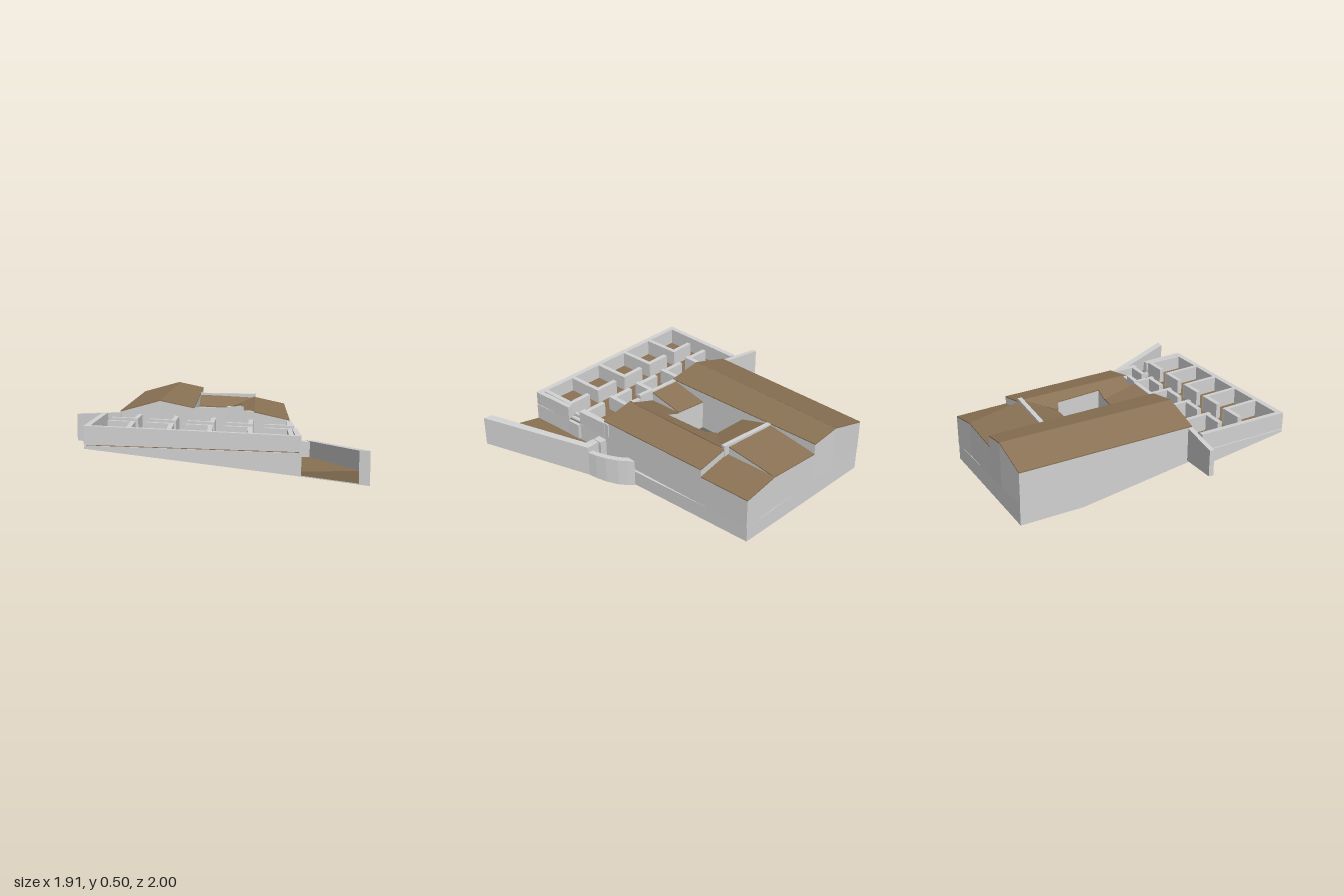
import * as THREE from 'three';

const material = (name, color, side = THREE.FrontSide) => {
  const m = new THREE.MeshStandardMaterial({ color, side });
  m.name = name;
  return m;
};

export function createModel() {
  const model = new THREE.Group();
  const stone = material('pale stone', 0xd2d2d2);
  const earth = material('brown roof and floor', 0x8b7355);
  const dark = material('dark court floor', 0x69645a);

  const fn = (v) => (typeof v === 'function' ? v : () => v);

  // Upright prism over an outline of [x, z] points, between two height rules
  function prism(name, pts, bottom, top, mat) {
    const shape = new THREE.Shape(pts.map(([x, z]) => new THREE.Vector2(x, -z)));
    const geo = new THREE.ExtrudeGeometry(shape, { depth: 1, bevelEnabled: false });
    geo.rotateX(-Math.PI / 2);
    const p = geo.attributes.position;
    const lo = fn(bottom), hi = fn(top);
    for (let i = 0; i < p.count; i++) {
      const x = p.getX(i), z = p.getZ(i);
      p.setY(i, p.getY(i) > 0.5 ? hi(x, z) : lo(x, z));
    }
    geo.computeVertexNormals();
    const mesh = new THREE.Mesh(geo, mat);
    mesh.name = name;
    model.add(mesh);
  }

  // Straight wall along a centre line
  function wall(name, x1, z1, x2, z2, thick, bottom, top) {
    const len = Math.hypot(x2 - x1, z2 - z1);
    const nx = (-(z2 - z1) / len) * thick / 2, nz = ((x2 - x1) / len) * thick / 2;
    prism(name, [[x1 + nx, z1 + nz], [x2 + nx, z2 + nz], [x2 - nx, z2 - nz], [x1 - nx, z1 - nz]],
      bottom, top, stone);
  }

  // Height rule of the plane through three [x, z, y] points
  function plane([a, b, c]) {
    const [ux, uz, uy] = b.map((v, i) => v - a[i]);
    const [vx, vz, vy] = c.map((v, i) => v - a[i]);
    const d = ux * vz - uz * vx;
    const sx = (uy * vz - uz * vy) / d, sz = (ux * vy - uy * vx) / d;
    return (x, z) => a[2] + sx * (x - a[0]) + sz * (z - a[1]);
  }

  // Tilted ground planes and levels
  const frontUnder = (x, z) => 0.061 - 0.117 * x + 0.139 * z;
  const backUnder = (x) => 0.03 - 0.045 * x;
  const baseTop = (x) => 0.155 - 0.085 * x;
  const cellFloor = (x) => 0.285 - 0.02 * x;
  const cellTop = (x) => 0.39 - 0.035 * x;

  // Foundations
  prism('backFoundation', [[-0.66, -1], [0.41, -0.96], [0.48, 0], [-0.66, -0.566]], backUnder, baseTop, stone);
  prism('middleFoundation', [[-0.66, -0.566], [0.48, 0], [0.475, 0.27], [-0.66, 0.235]], frontUnder, baseTop, stone);
  prism('cellFoundation', [[-0.78, 0.23], [-0.78, 0.885], [0.545, 0.92], [0.475, 0.27]],
    frontUnder, (x) => cellFloor(x) - 0.006, stone);
  prism('cellFloor', [[-0.77, 0.24], [-0.77, 0.875], [0.535, 0.91], [0.475, 0.275]],
    (x) => cellFloor(x) - 0.006, cellFloor, earth);
  prism('courtFloor', [[-0.19, -0.4], [0.16, -0.4], [0.16, 0.01], [-0.18, 0.01]],
    baseTop, (x) => baseTop(x) + 0.006, dark);

  // Roof facet: a wall block with a thin brown cover, plane set by the first three corners
  function roof(name, corners) {
    const h = plane(corners);
    const pts = corners.map(([x, z]) => [x, z]);
    prism(name + 'Walls', pts, baseTop, (x, z) => h(x, z) - 0.007, stone);
    prism(name, pts, (x, z) => h(x, z) - 0.007, h, earth);
  }
  roof('leftWingOuterRoof', [[-0.665, -1, 0.43], [-0.66, 0.235, 0.43], [-0.39, 0.245, 0.505], [-0.39, -0.998, 0.505]]);
  roof('leftWingInnerRoof', [[-0.39, -0.998, 0.505], [-0.39, 0.245, 0.505], [-0.16, 0.255, 0.458], [-0.2, -0.985, 0.46]]);
  roof('backMiddleRoof', [[-0.2, -0.985, 0.39], [0.17, -0.965, 0.39], [0.19, -0.6, 0.45], [-0.19, -0.625, 0.45]]);
  roof('backRightRoof', [[0.17, -0.965, 0.39], [0.415, -0.96, 0.335], [0.435, -0.585, 0.335], [0.175, -0.585, 0.39]]);
  roof('rightWingOuterRoof', [[0.22, -0.585, 0.437], [0.435, -0.585, 0.39], [0.475, 0.28, 0.385], [0.24, 0.275, 0.44]]);
  roof('rightWingInnerRoof', [[0.22, -0.57, 0.437], [0.24, 0.27, 0.44], [0.14, 0, 0.41],
    [0.05, 0], [0.06, 0.24], [0.24, 0.27]].filter((_, i) => i < 3).concat([[0.05, -0.01], [0.06, 0.24]])
    .length ? [[0.24, 0.27, 0.44], [0.06, 0.24, 0.385], [0.05, -0.01, 0.385], [0.155, 0], [0.13, -0.33],
      [0.06, -0.37], [0.22, -0.57]] : []);
  roof('courtBackRoof', [[-0.19, -0.59, 0.45], [0.22, -0.57, 0.437], [0.06, -0.37, 0.385], [-0.18, -0.385]]);
  roof('courtFrontRoof', [[-0.163, 0.24, 0.45], [0.06, 0.24, 0.45], [0.05, -0.01, 0.39], [-0.172, -0.03]]);

  // Parapets across the roofs
  wall('backParapet', -0.19, -0.61, 0.22, -0.575, 0.03, 0.2, 0.462);
  wall('frontParapet', -0.16, 0.24, 0.06, 0.248, 0.03, 0.25, 0.455);
  wall('frontParapetStep', 0.06, 0.248, 0.17, 0.255, 0.03, 0.25, 0.465);
  wall('frontParapetEnd', 0.17, 0.255, 0.24, 0.26, 0.03, 0.25, 0.437);

  // Outer walls of the cell yard
  wall('yardLeftWall', -0.762, 0.235, -0.762, 0.885, 0.036, cellFloor, cellTop);
  wall('yardFrontWall', -0.78, 0.867, 0.543, 0.9, 0.038, cellFloor, cellTop);
  wall('yardRightWallFront', 0.505, 0.6, 0.527, 0.915, 0.034, cellFloor, cellTop);
  wall('yardRightWallBack', 0.47, 0.27, 0.488, 0.5, 0.034, cellFloor, cellTop);
  wall('stubWall', -0.96, 0.185, -0.65, 0.225, 0.032, (x) => 0.1 - 0.125 * x, (x) => 0.455 + 0.057 * x);

  // Two rows of L-shaped cell partitions
  for (let i = 0; i < 5; i++) {
    const x = -0.525 + i * 0.248, dz = i * 0.006;
    wall('backCellSide', x, 0.235, x + 0.005, 0.475 + dz, 0.03, cellFloor, cellTop);
    wall('backCellFront', x - 0.155, 0.442 + dz, x, 0.448 + dz, 0.032, cellFloor, cellTop);
    wall('frontCellSide', x + 0.005, 0.59 + dz, x + 0.018, 0.865 + dz, 0.03, cellFloor, cellTop);
    wall('frontCellFront', x - 0.155, 0.602 + dz, x + 0.005, 0.606 + dz, 0.032, cellFloor, cellTop);
  }

  // Entrance steps
  for (let i = 0; i < 3; i++) {
    const x = 0.455 + i * 0.028;
    wall('entranceStep', x, 0.5, x + 0.005, 0.595, 0.025, 0.16, 0.305 - i * 0.018);
  }

  // Lower terrace beside the yard
  prism('terraceFoundation', [[0.475, 0.27], [0.545, 0.92], [0.92, 0.995], [0.61, 0.27]],
    frontUnder, (x, z) => frontUnder(x, z) + 0.006, stone);
  prism('terrace', [[0.475, 0.27], [0.545, 0.92], [0.92, 0.995], [0.61, 0.27]],
    (x, z) => frontUnder(x, z) + 0.006, (x, z) => 0.1 + 0.06 * x + 0.025 * z, earth);
  prism('sideCourtFoundation', [[0.475, 0], [0.475, 0.27], [0.62, 0.27], [0.59, 0.15], [0.54, 0.06]],
    frontUnder, 0.1, stone);
  prism('sideCourtFloor', [[0.475, 0.02], [0.475, 0.27], [0.61, 0.27], [0.58, 0.15], [0.53, 0.06]], 0.1, 0.106, dark);

  // Curved retaining wall and its straight continuation
  prism('curvedRetainingWall', [[0.48, -0.02], [0.515, 0.015], [0.555, 0.065], [0.595, 0.14], [0.62, 0.21], [0.635, 0.27],
    [0.595, 0.27], [0.58, 0.21], [0.555, 0.15], [0.52, 0.085], [0.48, 0.04]],
  frontUnder, (x, z) => 0.2 + 0.02 * z, stone);
  prism('straightRetainingWall', [[0.635, 0.27], [0.95, 1], [0.885, 0.99], [0.585, 0.27]],
    frontUnder, (x, z) => 0.225 + 0.075 * z, stone);
  wall('terraceCrossWall', 0.54, 0.3, 0.61, 0.3, 0.055, 0.1, 0.245);
  wall('gatePost', 0.485, 0.29, 0.535, 0.29, 0.07, 0.1, 0.245);

  return model;
}
